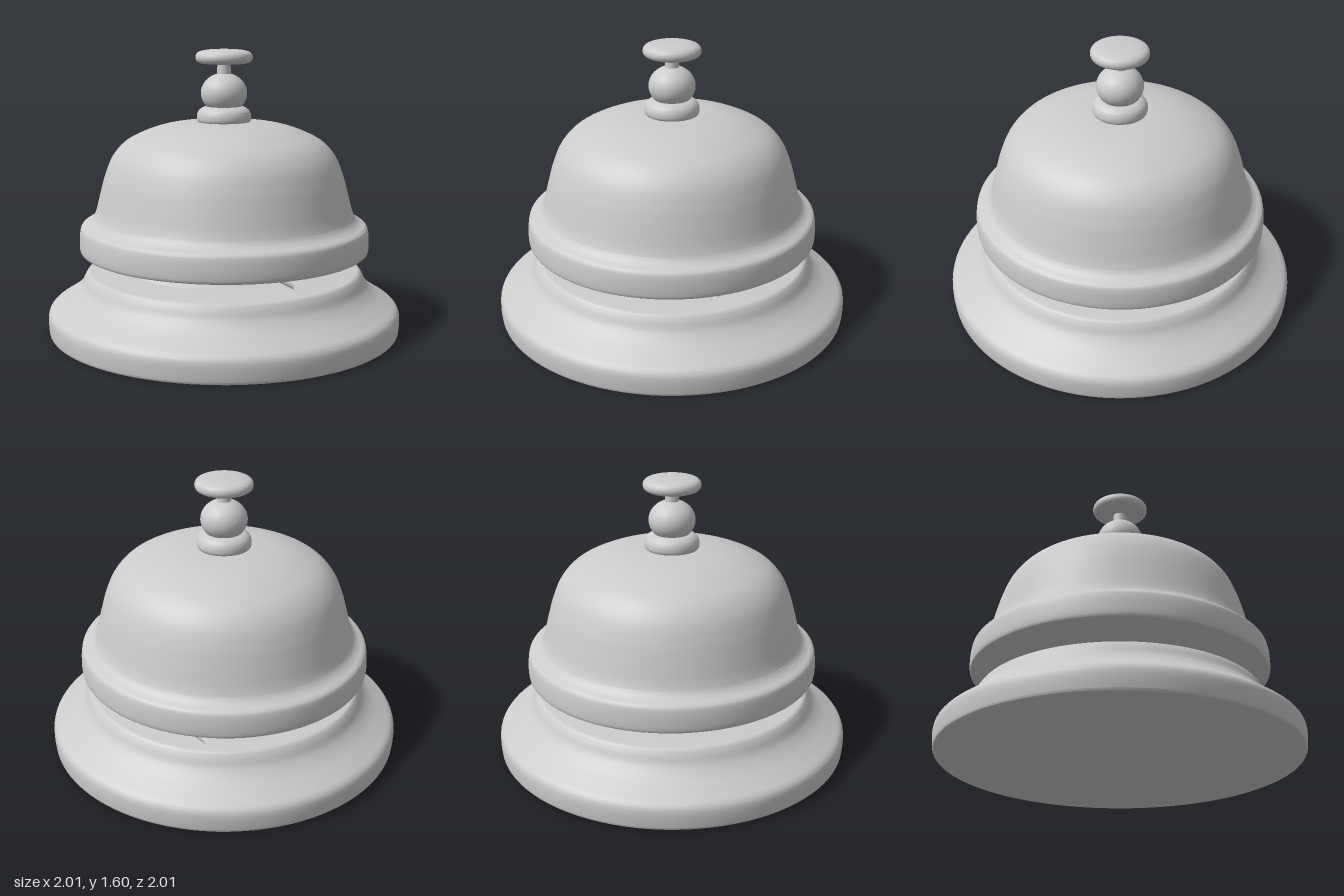
import * as THREE from 'three';
import { toCreasedNormals } from 'three/addons/utils/BufferGeometryUtils.js';

const material = new THREE.MeshStandardMaterial({ color: 0xcccccc });

function part(name, geometry) {
  const mesh = new THREE.Mesh(geometry, material);
  mesh.name = name;
  return mesh;
}

// Turned part: outline of [radius, height] pairs from bottom to top.
// The outline is smoothed by a spline between flat caps that reach the axis.
function turned(name, outline, steps = 60, sides = 96) {
  const curve = new THREE.CatmullRomCurve3(
    outline.map(([r, y]) => new THREE.Vector3(r, y, 0)), false, 'centripetal');
  const points = curve.getPoints(steps).map(p => new THREE.Vector2(Math.max(p.x, 0), p.y));
  points.unshift(new THREE.Vector2(0, outline[0][1]));
  const top = outline[outline.length - 1];
  if (top[0] > 0) points.push(new THREE.Vector2(0, top[1]));
  return part(name, toCreasedNormals(new THREE.LatheGeometry(points, sides), 0.7));
}

// Bent metal strip: a flattened tube through the given points.
function strip(name, points, radius) {
  const curve = new THREE.CatmullRomCurve3(points.map(p => new THREE.Vector3(...p)));
  return part(name, new THREE.TubeGeometry(curve, 32, radius, 10));
}

export function createModel() {
  const bell = new THREE.Group();
  bell.name = 'deskBell';

  // Flared base
  bell.add(turned('base', [
    [0.98, 0], [0.995, 0.008], [1, 0.03], [1, 0.115], [0.985, 0.143], [0.93, 0.18],
    [0.86, 0.228], [0.815, 0.275], [0.79, 0.325], [0.77, 0.35], [0.74, 0.355],
  ]));

  // Dome with its stepped rim and closed underside
  const dome = turned('dome', [
    [0.8, 0.463], [0.812, 0.47], [0.817, 0.49], [0.813, 0.58], [0.803, 0.61], [0.765, 0.632],
    [0.74, 0.655], [0.724, 0.69], [0.695, 0.8], [0.667, 0.9], [0.625, 1.0], [0.56, 1.075],
    [0.46, 1.13], [0.34, 1.17], [0.2, 1.19], [0, 1.195],
  ], 90);
  dome.scale.z = 1.016;
  bell.add(dome);

  // Plunger: collar, ball, stem and button
  bell.add(turned('collar', [
    [0.13, 1.18], [0.148, 1.195], [0.153, 1.215], [0.145, 1.25], [0.12, 1.272], [0.09, 1.28],
  ], 24, 48));
  const ball = part('ball', new THREE.SphereGeometry(0.13, 48, 24));
  ball.position.y = 1.352;
  ball.scale.y = 0.87;
  bell.add(ball);
  const stem = part('stem', new THREE.CylinderGeometry(0.036, 0.04, 0.1, 32));
  stem.position.y = 1.49;
  bell.add(stem);
  bell.add(turned('button', [
    [0.08, 1.513], [0.13, 1.518], [0.153, 1.53], [0.16, 1.552], [0.15, 1.575],
    [0.11, 1.59], [0, 1.597],
  ], 30, 48));

  // Striker mechanism in the gap
  const mechanism = new THREE.Group();
  mechanism.name = 'strikerMechanism';
  const plate = turned('mechanismPlate', [[0.45, 0.35], [0.4, 0.38], [0.34, 0.4], [0.3, 0.405]], 20, 48);
  plate.position.set(-0.1, 0, 0);
  const block = part('mountingBlock', new THREE.CylinderGeometry(0.13, 0.13, 0.07, 32));
  block.position.set(-0.325, 0.432, 0.1);
  mechanism.add(plate, block);
  mechanism.add(strip('frontLever', [[-0.04, 0.43, 0.42], [0.02, 0.425, 0.53], [0.1, 0.38, 0.63]], 0.024));
  mechanism.add(strip('sideSpring', [
    [0.14, 0.38, 0.18], [0.25, 0.415, 0.26], [0.34, 0.432, 0.3], [0.45, 0.41, 0.35], [0.54, 0.365, 0.4],
  ], 0.023));
  mechanism.add(strip('rearSpring', [
    [0.12, 0.385, -0.15], [0.2, 0.4, -0.27], [0.3, 0.432, -0.37], [0.4, 0.4, -0.47], [0.36, 0.37, -0.6],
  ], 0.023));
  bell.add(mechanism);

  return bell;
}
